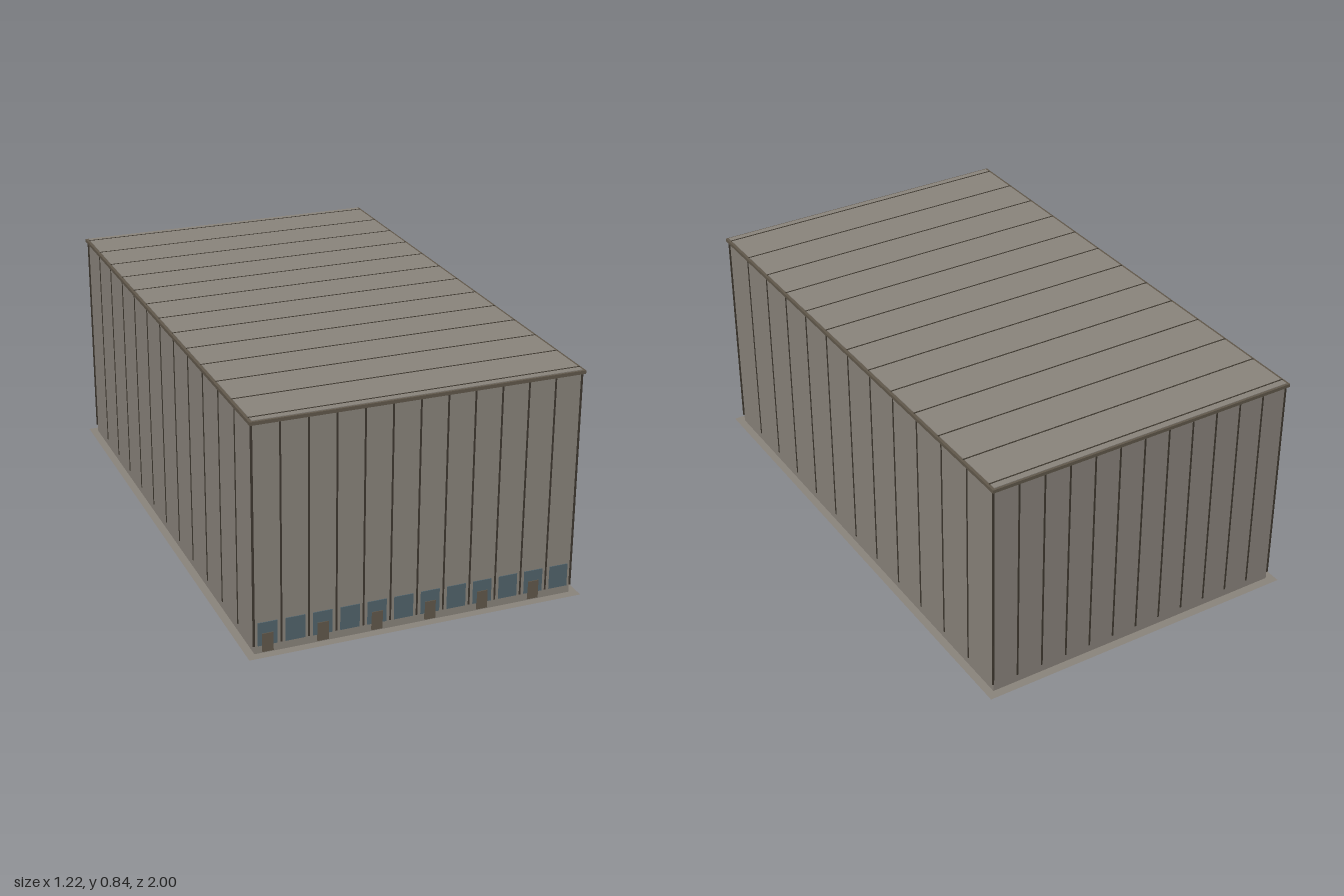
import * as THREE from 'three';

export function createModel() {
  const model = new THREE.Group();
  const mat = (name, color) => {
    const m = new THREE.MeshStandardMaterial({ color });
    m.name = name;
    return m;
  };
  const cladding = mat('grey cladding', 0x8b857d);
  const brown = mat('brown trim', 0x62594c);
  const dark = mat('dark seam', 0x3f3930);
  const glass = mat('blue grey glass', 0x52656d);

  const HX = 0.581, HZ = 0.968; // half width and depth of the walls
  const WALL_TOP = 0.828;

  const box = (name, m, w, h, d, x, y, z) => {
    const mesh = new THREE.Mesh(new THREE.BoxGeometry(w, h, d), m);
    mesh.name = name;
    mesh.position.set(x, y, z);
    model.add(mesh);
    return mesh;
  };
  const rect = (P, x, z) => new P([
    new THREE.Vector2(-x, -z), new THREE.Vector2(x, -z),
    new THREE.Vector2(x, z), new THREE.Vector2(-x, z),
  ]);
  const frame = (ox, oz, ix, iz) => {
    const s = rect(THREE.Shape, ox, oz);
    s.holes.push(rect(THREE.Path, ix, iz));
    return s;
  };

  // Flat apron around the foot of the walls
  const apronMaterial = cladding.clone();
  apronMaterial.name = 'grey apron';
  apronMaterial.side = THREE.DoubleSide;
  const apron = new THREE.Mesh(
    new THREE.ShapeGeometry(frame(0.61, 1, HX, HZ)).rotateX(-Math.PI / 2), apronMaterial);
  apron.name = 'apron';
  apron.position.y = 0.001;
  model.add(apron);

  // Hollow wall shell, open below, with the floor set a little above ground
  const walls = new THREE.Mesh(
    new THREE.ExtrudeGeometry(frame(HX, HZ, HX - 0.01, HZ - 0.01),
      { depth: WALL_TOP, bevelEnabled: false }).rotateX(-Math.PI / 2), cladding);
  walls.name = 'walls';
  model.add(walls);
  box('floor', brown, 2 * HX - 0.02, 0.01, 2 * HZ - 0.02, 0, 0.03, 0);

  // Roof: brown edge trim below a grey deck
  box('roofTrim', brown, 1.182, 0.012, 1.96, 0, 0.831, 0);
  box('roofDeck', cladding, 2 * HX, 0.01, 1.945, 0, 0.8345, 0);

  // Panel seams on the four walls and the roof
  const seamH = WALL_TOP - 0.03, seamY = 0.03 + seamH / 2;
  for (let i = -6; i <= 6; i++) {
    for (const s of [-1, 1]) {
      box('endSeam', dark, 0.006, seamH, 0.004, i * 0.0972, seamY, s * HZ);
      box('sideSeam', dark, 0.004, seamH, 0.006, s * HX, seamY, i * 0.1612);
    }
    box('roofSeam', dark, 1.168, 0.002, 0.005, 0, 0.8395, i * 0.1577);
  }

  // Windows in every front bay, doors in every second one
  for (let i = 0; i < 12; i++) {
    const x = (i - 5.5) * 0.0973;
    box('window', glass, 0.069, 0.085, 0.004, x, 0.0725, HZ + 0.001);
    if (i % 2 === 0) box('door', brown, 0.039, 0.068, 0.008, x, 0.041, HZ + 0.002);
  }
  return model;
}
